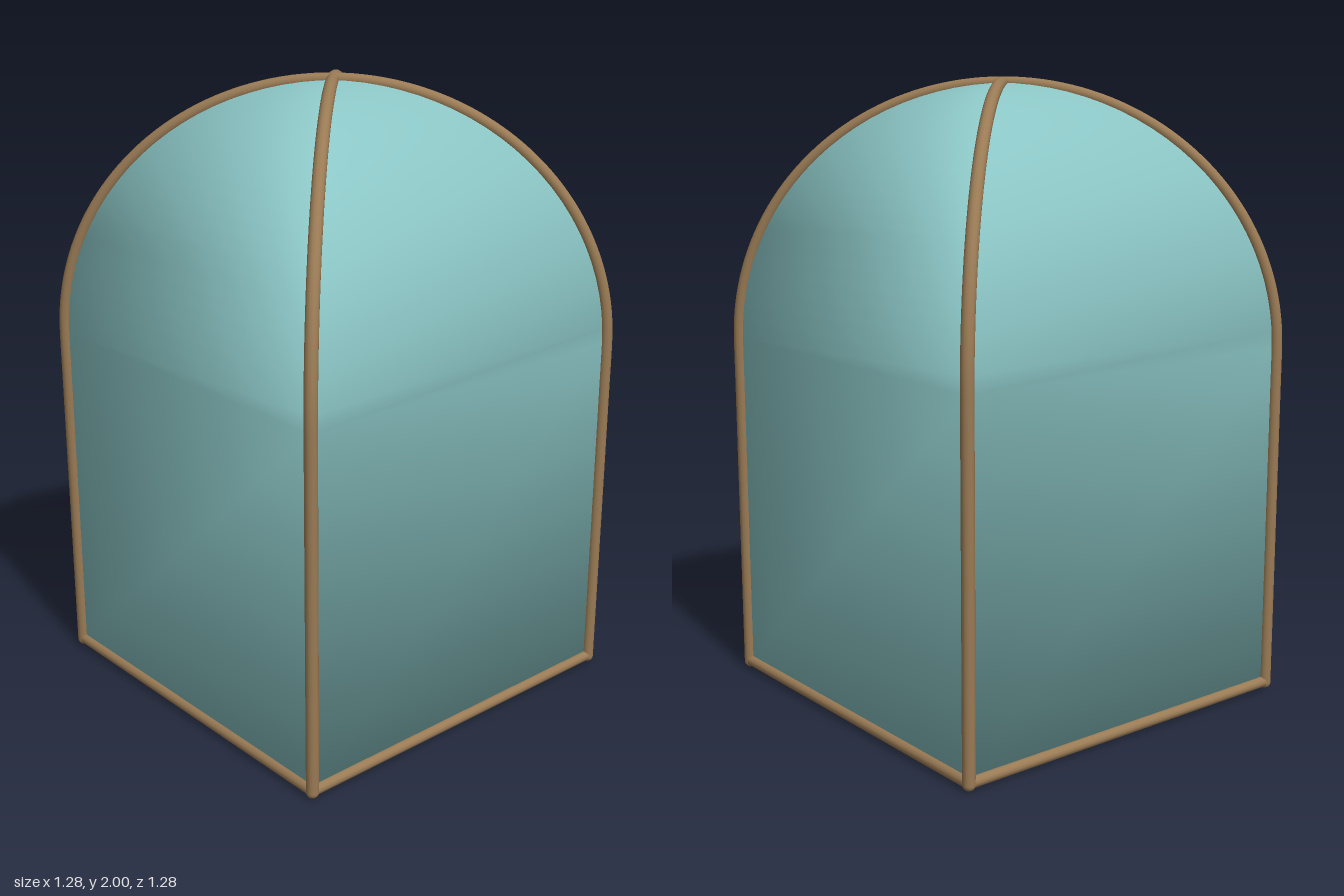
import * as THREE from 'three';

const HALF = 0.62, BASE = 0.02, SPRING = 1.15, TOP = 1.98, R = 0.02, STEPS = 24;
const CORNERS = [[1, 1], [1, -1], [-1, -1], [-1, 1]];

// Half-width and height up one corner: straight wall, then a quarter ellipse to the apex
function profile() {
  const rows = [[HALF, BASE]];
  for (let i = 0; i <= STEPS; i++) {
    const a = (i / STEPS) * Math.PI / 2;
    rows.push([HALF * Math.cos(a), SPRING + (TOP - SPRING) * Math.sin(a)]);
  }
  return rows;
}

// Square rings lofted to an apex, with a closed floor and shared smooth normals
function canopyGeometry() {
  const rows = profile().slice(0, -1);
  const pos = [], idx = [];
  for (const [w, y] of rows) for (const [sx, sz] of CORNERS) pos.push(sx * w, y, sz * w);
  const apex = rows.length * 4;
  pos.push(0, TOP, 0);
  for (let r = 0; r < rows.length; r++) {
    for (let k = 0; k < 4; k++) {
      const a = r * 4 + k, b = r * 4 + (k + 1) % 4;
      if (r === rows.length - 1) idx.push(a, b, apex);
      else idx.push(a, b, b + 4, a, b + 4, a + 4);
    }
  }
  idx.push(0, 2, 1, 0, 3, 2);
  const g = new THREE.BufferGeometry();
  g.setAttribute('position', new THREE.Float32BufferAttribute(pos, 3));
  g.setIndex(idx);
  g.computeVertexNormals();
  return g;
}

// One diagonal hoop running corner to corner over the apex
function hoopGeometry(side) {
  const half = profile();
  for (let i = 1; i < 8; i++) half.splice(i, 0, [HALF, BASE + (SPRING - BASE) * i / 8]);
  const up = half.map(([w, y]) => new THREE.Vector3(w, y, w * side));
  const down = half.slice(0, -1).reverse().map(([w, y]) => new THREE.Vector3(-w, y, -w * side));
  const curve = new THREE.CatmullRomCurve3([...up, ...down]);
  return new THREE.TubeGeometry(curve, 160, R, 12, false);
}

export function createModel() {
  const group = new THREE.Group();
  const fabric = new THREE.MeshStandardMaterial({ color: 0x8fcaca, side: THREE.DoubleSide });
  const wood = new THREE.MeshStandardMaterial({ color: 0x9a7b55 });
  const add = (name, geometry, material) => {
    const mesh = new THREE.Mesh(geometry, material);
    mesh.name = name;
    group.add(mesh);
    return mesh;
  };

  add('canopy', canopyGeometry(), fabric);
  add('diagonalHoopA', hoopGeometry(1), wood);
  add('diagonalHoopB', hoopGeometry(-1), wood);

  // Base rails and rounded corner joints
  const rail = new THREE.CylinderGeometry(0.018, 0.018, HALF * 2, 12);
  const joint = new THREE.SphereGeometry(R, 12, 8);
  const names = ['leftRail', 'backRail', 'rightRail', 'frontRail'];
  CORNERS.forEach(([x, z], k) => {
    const [nx, nz] = CORNERS[(k + 1) % 4];
    const bar = add(names[k], rail, wood);
    bar.position.set((x + nx) / 2 * HALF, BASE + 0.004, (z + nz) / 2 * HALF);
    if (x === nx) bar.rotation.x = Math.PI / 2;
    else bar.rotation.z = Math.PI / 2;
    add('cornerJoint', joint, wood).position.set(x * HALF, BASE, z * HALF);
  });
  return group;
}
